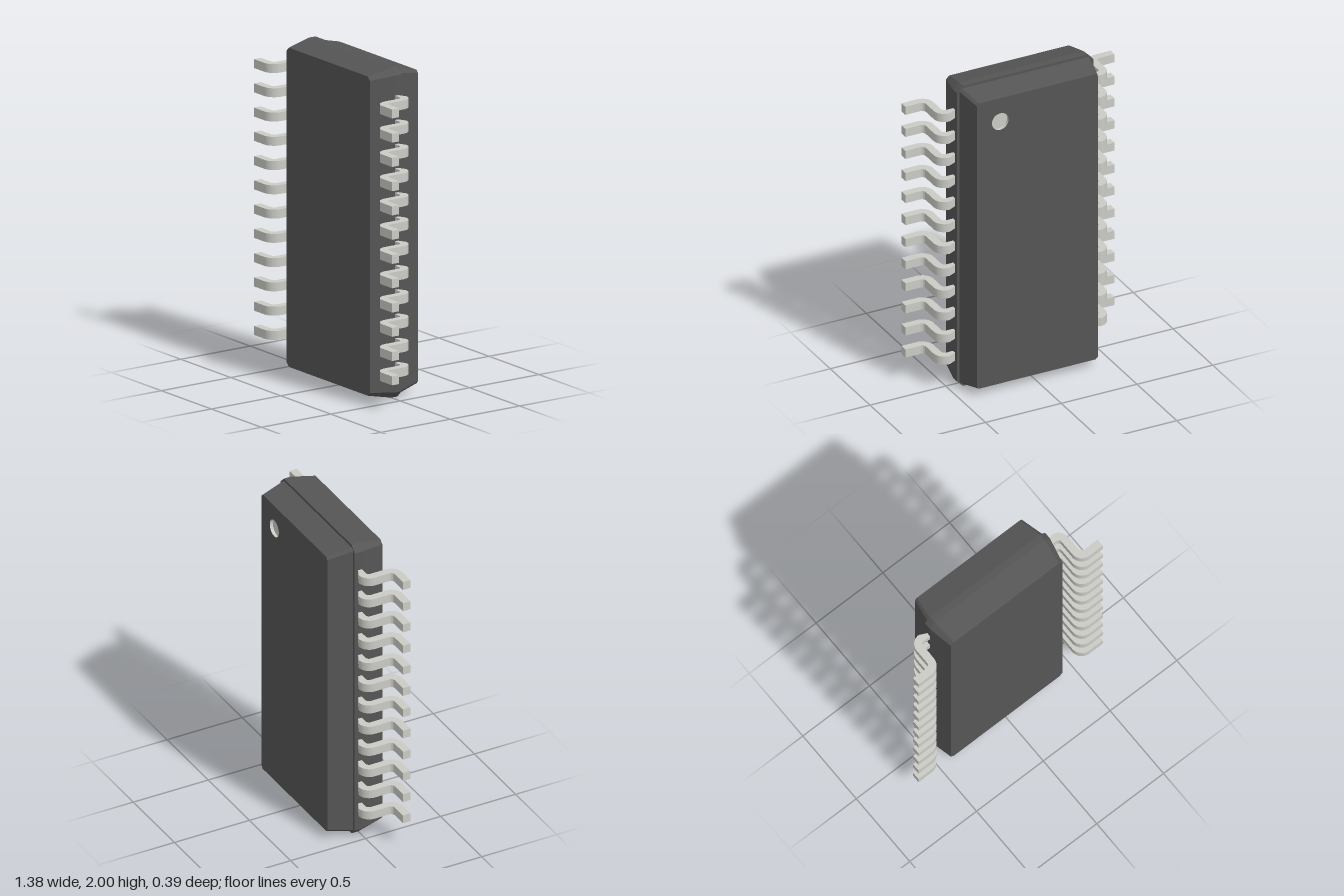
import * as THREE from 'three';
import { toCreasedNormals } from 'three/addons/utils/BufferGeometryUtils.js';

const bodyMat = new THREE.MeshStandardMaterial({ color: 0x555555 });
const metalMat = new THREE.MeshStandardMaterial({ color: 0xcbcbc6 });
const markWallMat = new THREE.MeshStandardMaterial({ color: 0xcbcbc6, side: THREE.DoubleSide });

const MARK = { x: 0.245, y: 0.795, r: 0.055, depth: 0.02 };

function part(name, geometry, material) {
  const mesh = new THREE.Mesh(geometry, material);
  mesh.name = name;
  return mesh;
}

// Rectangle with chamfered corners, counter-clockwise
function chamferRect({ hx, hy, c }) {
  return [
    [hx - c, -hy], [hx, -hy + c], [hx, hy - c], [hx - c, hy],
    [-hx + c, hy], [-hx, hy - c], [-hx, -hy + c], [-hx + c, -hy],
  ].map(([x, y]) => new THREE.Vector2(x, y));
}

// Flat-sided skin through sections ordered by rising z
function loftSides(sections) {
  const pos = [];
  for (let s = 0; s < sections.length - 1; s++) {
    const lo = chamferRect(sections[s]), hi = chamferRect(sections[s + 1]);
    const z0 = sections[s].z, z1 = sections[s + 1].z;
    for (let i = 0; i < 8; i++) {
      const j = (i + 1) % 8;
      const a = [lo[i].x, lo[i].y, z0], b = [lo[j].x, lo[j].y, z0];
      const c = [hi[j].x, hi[j].y, z1], d = [hi[i].x, hi[i].y, z1];
      pos.push(...a, ...b, ...c, ...a, ...c, ...d);
    }
  }
  const g = new THREE.BufferGeometry();
  g.setAttribute('position', new THREE.Float32BufferAttribute(pos, 3));
  g.computeVertexNormals();
  return g;
}

// End face of a section, optionally with the round mark cut out
function cap(section, facing, withHole) {
  const shape = new THREE.Shape(chamferRect(section));
  if (withHole) {
    shape.holes.push(new THREE.Path().absarc(MARK.x * facing, MARK.y, MARK.r, 0, Math.PI * 2, true));
  }
  const g = new THREE.ShapeGeometry(shape, 24);
  if (facing < 0) g.rotateY(Math.PI);
  return g.translate(0, 0, section.z);
}

function bodyHalf(name, sections, withHole) {
  const half = new THREE.Group();
  half.name = name;
  half.add(
    part(name + 'Sides', loftSides(sections), bodyMat),
    part(name + 'BackFace', cap(sections[0], -1, withHole), bodyMat),
    part(name + 'FrontFace', cap(sections[sections.length - 1], 1, false), bodyMat),
  );
  half.position.y = 1;
  return half;
}

// Gull-wing pin; side is +1 or -1 along x
function pinGeometry(side) {
  const q = Math.PI / 2;
  const p = new THREE.Path();
  // outline in x and -z
  p.moveTo(0.4, 0.045);
  p.absarc(0.497, -0.025, 0.07, q, 0, true);       // outer shoulder
  p.absarc(0.592, -0.12, 0.025, 2 * q, 3 * q, false); // inner ankle
  p.lineTo(0.69, -0.145);
  p.lineTo(0.69, -0.195);
  p.absarc(0.59, -0.123, 0.072, 3 * q, 2 * q, true); // outer ankle
  p.absarc(0.496, -0.024, 0.022, 0, q, false);     // inner shoulder
  p.lineTo(0.4, -0.002);
  const pts = p.getPoints(8).map((v) => new THREE.Vector2(v.x * side, v.y));
  const g = new THREE.ExtrudeGeometry(new THREE.Shape(pts), { depth: 0.054, bevelEnabled: false });
  g.translate(0, 0, -0.027).rotateX(-Math.PI / 2);
  return toCreasedNormals(g, 0.6);
}

export function createModel() {
  const model = new THREE.Group();
  model.name = 'chipPackage';

  // Moulded case in two halves with a small step between them
  model.add(
    bodyHalf('frontCase', [
      { z: -0.045, hx: 0.45, hy: 1, c: 0.04 },
      { z: 0, hx: 0.45, hy: 1, c: 0.04 },
      { z: 0.157, hx: 0.417, hy: 0.967, c: 0.022 },
    ], false),
    bodyHalf('backCase', [
      { z: -0.2, hx: 0.4, hy: 0.95, c: 0.015 },
      { z: -0.045, hx: 0.432, hy: 0.983, c: 0.018 },
    ], true),
  );

  // Round recessed mark for the first pin
  const wall = new THREE.CylinderGeometry(MARK.r, MARK.r, MARK.depth, 32, 1, true).rotateX(Math.PI / 2);
  const floor = new THREE.CircleGeometry(MARK.r, 32).rotateY(Math.PI);
  const markWall = part('markWall', wall, markWallMat);
  const markFloor = part('markFloor', floor, metalMat);
  markWall.position.set(MARK.x, 1 + MARK.y, -0.2 + MARK.depth / 2);
  markFloor.position.set(MARK.x, 1 + MARK.y, -0.2 + MARK.depth);
  model.add(markWall, markFloor);

  // Twelve pins on each side
  for (const side of [1, -1]) {
    const row = new THREE.Group();
    row.name = side > 0 ? 'leftPins' : 'rightPins';
    const geometry = pinGeometry(side);
    for (let i = 0; i < 12; i++) {
      const pin = part('pin', geometry, metalMat);
      pin.position.y = 1.003 + (i - 5.5) * 0.147;
      row.add(pin);
    }
    model.add(row);
  }
  return model;
}
